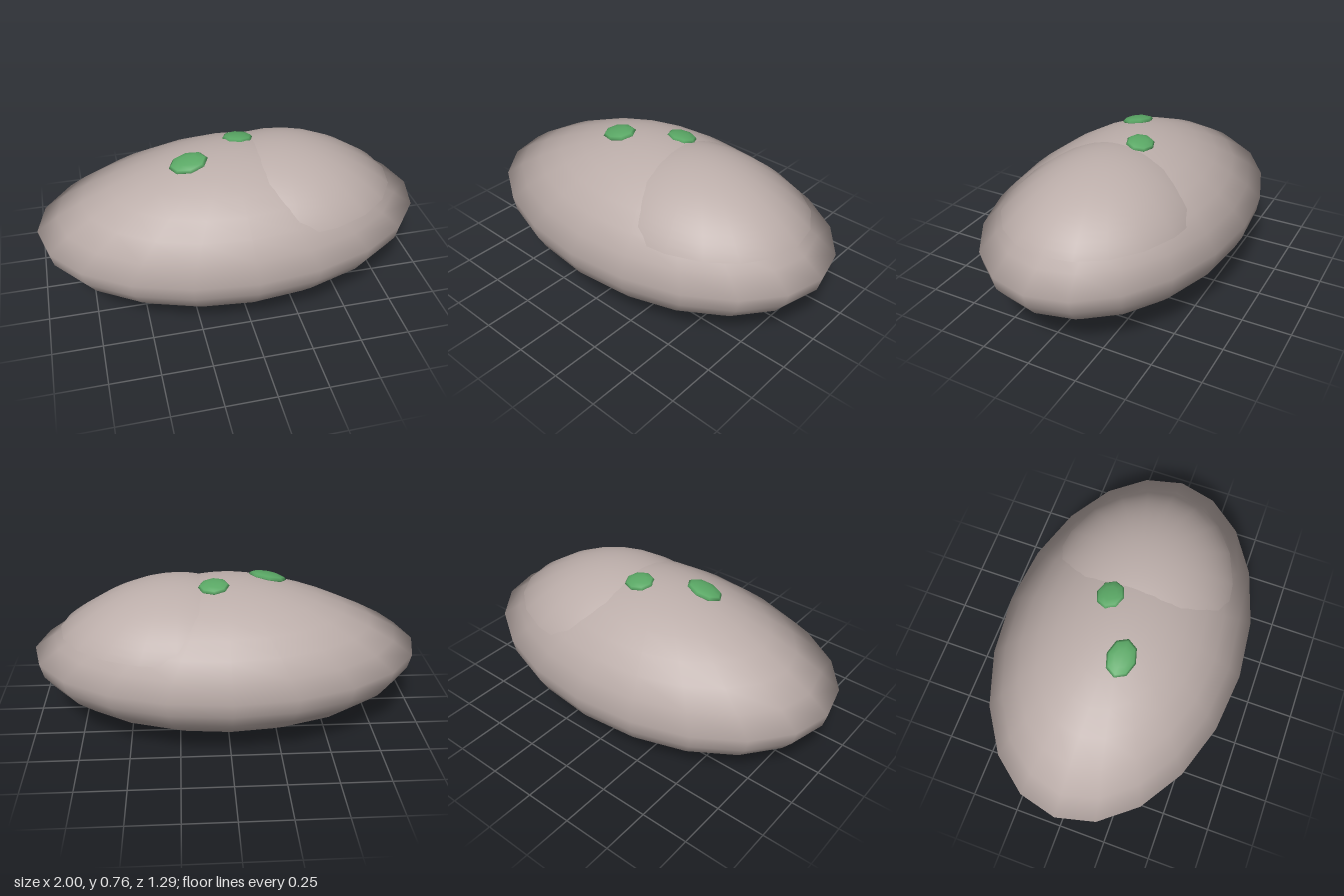
import * as THREE from 'three';

const shellMaterial = new THREE.MeshStandardMaterial({ color: 0xbcaeaa });
shellMaterial.name = 'warm grey';
const spotMaterial = new THREE.MeshStandardMaterial({ color: 0x5aa865 });
spotMaterial.name = 'green';

// Unit sphere whose upper half narrows towards the top; its round normals are kept for soft shading
function moundGeometry(taper, thetaLength = Math.PI) {
  const geometry = new THREE.SphereGeometry(1, 20, 16, 0, Math.PI * 2, 0, thetaLength);
  const p = geometry.attributes.position;
  for (let i = 0; i < p.count; i++) {
    const k = 1 - taper * Math.max(0, p.getY(i));
    p.setX(i, p.getX(i) * k);
    p.setZ(i, p.getZ(i) * k);
  }
  return geometry;
}

function addPart(group, name, geometry, material, position, scale, rotation = [0, 0, 0]) {
  const mesh = new THREE.Mesh(geometry, material);
  mesh.name = name;
  mesh.position.set(...position);
  mesh.scale.set(...scale);
  mesh.rotation.set(...rotation);
  group.add(mesh);
}

export function createModel() {
  const group = new THREE.Group();
  group.name = 'moundBody';

  // Main body: round below, tapering above a sharp rim
  addPart(group, 'body', moundGeometry(0.45), shellMaterial, [0, 0.378, 0], [1, 0.377, 0.646]);

  // Raised hump on the left side, cut off just above the rim
  addPart(group, 'hump', moundGeometry(0.357, Math.PI * 0.4), shellMaterial,
    [0.25, 0.38, 0], [0.717, 0.375, 0.57]);

  // Two flattened spots lying on the top
  const spot = new THREE.SphereGeometry(1, 8, 6);
  addPart(group, 'frontSpot', spot, spotMaterial, [-0.222, 0.722, 0.07], [0.1, 0.024, 0.075], [0.15, 0, 0.2]);
  addPart(group, 'backSpot', spot, spotMaterial, [0.065, 0.738, -0.09], [0.08, 0.022, 0.072], [-0.17, 0, -0.06]);

  return group;
}
